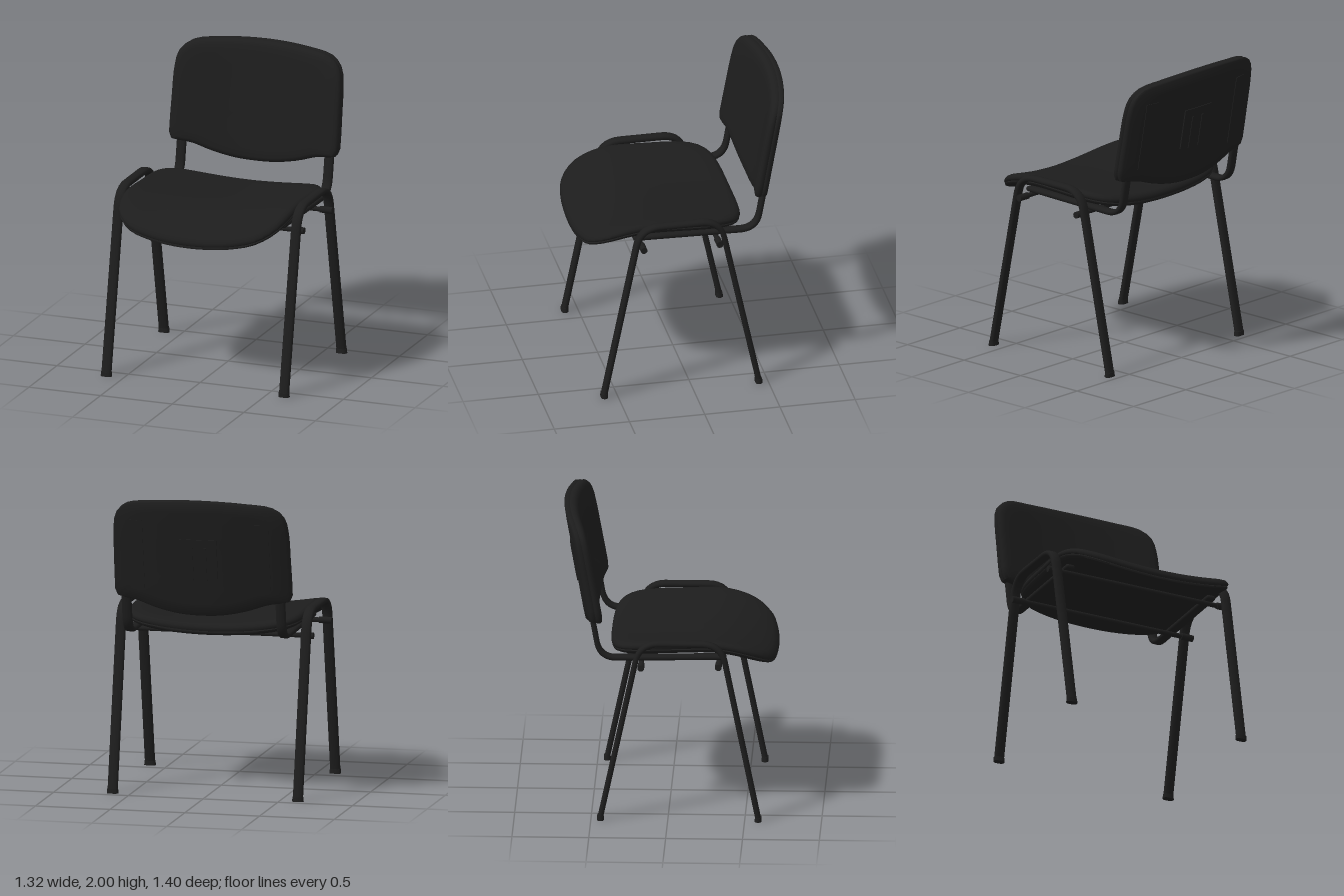
import * as THREE from 'three';
import { toCreasedNormals } from 'three/addons/utils/BufferGeometryUtils.js';

const black = new THREE.MeshStandardMaterial({ color: 0x1d1d1d });
black.name = 'black';

function add(parent, name, geometry, x = 0, y = 0, z = 0) {
  const mesh = new THREE.Mesh(geometry, black);
  mesh.name = name;
  mesh.position.set(x, y, z);
  parent.add(mesh);
  return mesh;
}

// Bend flat coordinates (u across, v along, t outward) onto the seat and the backrest
const seatBend = (u, v, t) => {
  const z = -v, drop = Math.max(0, z - 0.2);
  return [u, 1.15 + 0.04 * z - 0.58 * drop * drop + 0.055 * (u / 0.585) ** 2 + t, z];
};
const backBend = (u, v, t) => [u, v, -0.465 - 0.18 * (v - 1.22) + 0.075 * (u / 0.59) ** 2 + t];

// Pad: a mirrored outline repeated in rings [scale, height], then bent
function pad(half, rings, bend) {
  const mirrored = half.slice(1, -1).reverse().map(([u, v]) => [-u, v]);
  const points = [...half, ...mirrored].map(([u, v]) => new THREE.Vector3(u, v, 0));
  const n = 72;
  const outline = new THREE.CatmullRomCurve3(points, true, 'centripetal').getSpacedPoints(n).slice(0, n);
  const mid = (half[0][1] + half[half.length - 1][1]) / 2;
  const position = [], index = [];
  rings.forEach(([s, t], i) => {
    outline.forEach((p, j) => {
      position.push(...bend(p.x * s, mid + (p.y - mid) * s, t));
      if (i === rings.length - 1) return;
      const a = i * n + j, d = i * n + (j + 1) % n;
      if (s > 0) index.push(a, a + n, d + n, a, d + n, d);
      else index.push(a, a + n, d + n);
    });
  });
  const geometry = new THREE.BufferGeometry();
  geometry.setAttribute('position', new THREE.Float32BufferAttribute(position, 3));
  geometry.setIndex(index);
  return toCreasedNormals(geometry, 0.9);
}

// Thin plate bent onto the back of the backrest
function backPlate(w, h, d, x, y, t) {
  const geometry = new THREE.BoxGeometry(w, h, d, 6, 4, 1);
  const p = geometry.attributes.position;
  for (let i = 0; i < p.count; i++) {
    p.setXYZ(i, ...backBend(p.getX(i) + x, p.getY(i) + y, p.getZ(i) + t));
  }
  geometry.computeVertexNormals();
  return geometry;
}

// Pull a round section apart along x into a flat-sided oval
function flatOval(geometry, extra) {
  const p = geometry.attributes.position;
  for (let i = 0; i < p.count; i++) {
    const x = p.getX(i);
    if (Math.abs(x) > 1e-5) p.setX(i, x + Math.sign(x) * extra);
  }
  return geometry;
}

// Flat oval tube along [z, y] points with rounded corners
function ovalTube(points, corner, radius, extra) {
  const v = points.map(([z, y]) => new THREE.Vector3(0, y, z));
  const path = new THREE.CurvePath();
  let from = v[0];
  for (let i = 1; i < v.length - 1; i++) {
    const toward = (q) => v[i].clone().add(q.clone().sub(v[i]).setLength(corner));
    const start = toward(v[i - 1]), end = toward(v[i + 1]);
    path.add(new THREE.LineCurve3(from, start));
    path.add(new THREE.QuadraticBezierCurve3(start, v[i], end));
    from = end;
  }
  path.add(new THREE.LineCurve3(from, v[v.length - 1]));
  return flatOval(new THREE.TubeGeometry(path, 100, radius, 16, false), extra);
}

export function createModel() {
  const chair = new THREE.Group();
  chair.name = 'chair';

  // Seat: cushion over a thin shell
  const seatOutline = [[0, -0.703], [0.3, -0.685], [0.45, -0.645], [0.545, -0.555], [0.583, -0.42], [0.587, -0.1],
    [0.578, 0.18], [0.545, 0.275], [0.48, 0.335], [0.35, 0.37], [0, 0.385]];
  const flat = [0, 0.2, 0.4, 0.6, 0.8];
  const under = [0.8, 0.6, 0.4, 0.2, 0];
  add(chair, 'seatCushion', pad(seatOutline, [...flat.map((s) => [s, 0]), [0.93, 0], [0.97, -0.006],
    [0.993, -0.02], [1, -0.034], [0.99, -0.047], [0.97, -0.05], ...under.map((s) => [s, -0.05])], seatBend));
  add(chair, 'seatShell', pad(seatOutline, [...flat.map((s) => [s, -0.048]), [0.985, -0.048], [0.992, -0.054],
    [0.985, -0.066], [0.95, -0.076], ...under.map((s) => [s, -0.078])], seatBend));

  // Backrest: cushion in front of a thin shell
  const backOutline = [[0, 1.22], [0.15, 1.228], [0.3, 1.258], [0.45, 1.305], [0.56, 1.32], [0.585, 1.335],
    [0.59, 1.4], [0.588, 1.6], [0.582, 1.8], [0.56, 1.895], [0.49, 1.958], [0.3, 1.987], [0, 2.0]];
  add(chair, 'backCushion', pad(backOutline, [...flat.map((s) => [s, 0]), [0.92, -0.002], [0.97, -0.01],
    [0.993, -0.024], [1, -0.04], [0.99, -0.054], [0.97, -0.056], ...under.map((s) => [s, -0.056])], backBend));
  add(chair, 'backShell', pad(backOutline, [...flat.map((s) => [s, -0.054]), [0.99, -0.054], [0.998, -0.062],
    [0.996, -0.082], [0.975, -0.09], ...under.map((s) => [s, -0.092])], backBend));

  // Raised panel and ribs moulded into the back shell
  add(chair, 'backPanel', backPlate(0.25, 0.27, 0.016, 0, 1.605, -0.092));
  for (const x of [-0.045, 0.045]) {
    add(chair, 'panelRib', backPlate(0.02, 0.22, 0.008, x, 1.575, -0.101));
  }

  for (const side of [-1, 1]) {
    add(chair, 'backRib', backPlate(0.09, 0.46, 0.008, side * 0.42, 1.62, -0.092));

    // Legs: one bent oval tube per side, with end caps
    add(chair, 'legFrame', ovalTube([[0.59, 0.01], [0.347, 1.207], [-0.184, 1.207], [-0.44, 0.01]], 0.13, 0.0185, 0.0155),
      side * 0.62);
    for (const z of [0.588, -0.438]) {
      const foot = flatOval(new THREE.CylinderGeometry(0.021, 0.023, 0.03, 20), 0.0155);
      add(chair, 'footCap', foot, side * 0.62, 0.015, z);
    }

    // Rail under the seat, turning up into the backrest
    add(chair, 'backRail', ovalTube([[0.36, 1.09], [-0.445, 1.075], [-0.545, 1.62]], 0.11, 0.0175, 0.0155), side * 0.515);
    add(chair, 'railEnd', flatOval(new THREE.SphereGeometry(0.0175, 16, 10), 0.0155), side * 0.515, 1.09, 0.36);
  }

  // Crossbars with knobs at the legs
  for (const [y, z] of [[1.06, 0.33], [1.05, -0.174]]) {
    add(chair, 'crossbar', new THREE.CylinderGeometry(0.016, 0.016, 1.3, 16).rotateZ(Math.PI / 2), 0, y, z);
    for (const side of [-1, 1]) {
      const knob = new THREE.CylinderGeometry(0.022, 0.022, 0.085, 16).rotateZ(Math.PI / 2);
      add(chair, 'crossbarKnob', knob, side * 0.618, y, z);
    }
  }
  return chair;
}
